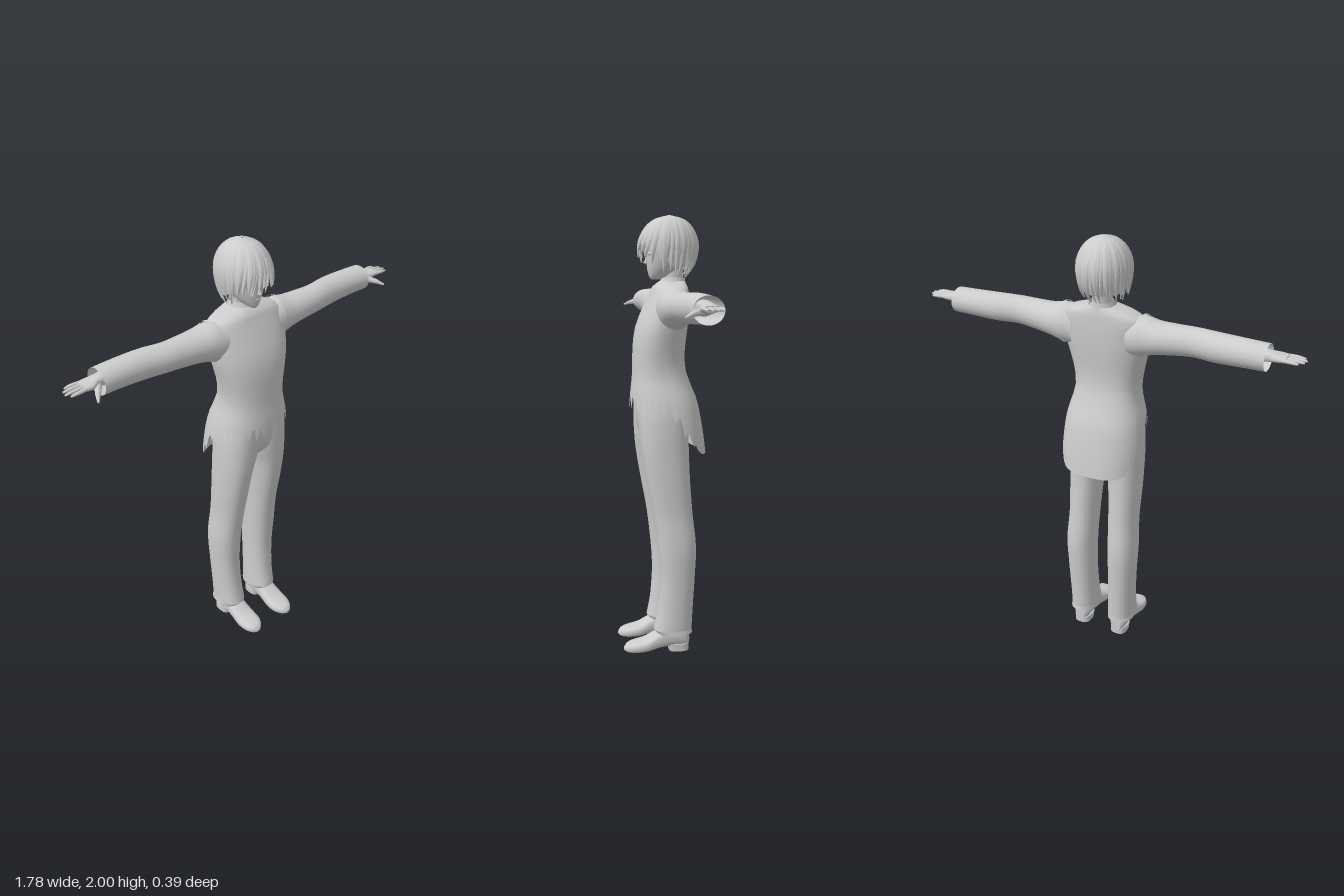
import * as THREE from 'three';

const clay = new THREE.MeshStandardMaterial({ color: 0xcccccc, side: THREE.DoubleSide });
clay.name = 'light grey';

// Smooth section at a position; rows are [pos, aMin, aMax, bMin, bMax] in rising order.
function sectionAt(rows, pos) {
  let i = 0;
  while (i < rows.length - 2 && pos > rows[i + 1][0]) i++;
  const r0 = rows[i], r1 = rows[i + 1], h = r1[0] - r0[0];
  const t = Math.min(1, Math.max(0, (pos - r0[0]) / h));
  const p = rows[Math.max(0, i - 1)], n = rows[Math.min(rows.length - 1, i + 2)];
  return [1, 2, 3, 4].map(k => {
    const m0 = (r1[k] - p[k]) / (r1[0] - p[0]) * h, m1 = (n[k] - r0[k]) / (n[0] - r0[0]) * h;
    const t2 = t * t, t3 = t2 * t;
    return (2 * t3 - 3 * t2 + 1) * r0[k] + (t3 - 2 * t2 + t) * m0 + (3 * t2 - 2 * t3) * r1[k] + (t3 - t2) * m1;
  });
}

// Point on a section outline; e < 1 makes it boxier.
function outline([a0, a1, b0, b1], ang, e = 1, scale = 1) {
  const c = Math.cos(ang), s = Math.sin(ang);
  const f = v => Math.sign(v) * Math.abs(v) ** e * 0.5 * scale;
  return [(a0 + a1) / 2 + f(c) * (a1 - a0), (b0 + b1) / 2 + f(s) * (b1 - b0)];
}

const place = {
  x: (p, a, b) => [p, b, a],
  y: (p, a, b) => [a, p, b],
  z: (p, a, b) => [b, a, p],
};

// Surface from rings of points; rings listed in `skip` are not joined to the next one.
function surface(rings, closed = true, skip = []) {
  const n = rings[0].length, index = [];
  for (let j = 0; j < rings.length - 1; j++) {
    if (skip.includes(j)) continue;
    for (let i = 0; i < (closed ? n : n - 1); i++) {
      const k = (i + 1) % n, a = j * n + i, b = j * n + k, c = a + n, d = b + n;
      index.push(a, c, b, b, c, d);
    }
  }
  const g = new THREE.BufferGeometry();
  g.setAttribute('position', new THREE.Float32BufferAttribute(rings.flat(2), 3));
  g.setIndex(index);
  g.computeVertexNormals();
  return g;
}

function loft(axis, rows, { e = 1, segs = 28, sub = 4, cap = true } = {}) {
  const stops = [];
  rows.forEach((r, i) => {
    if (i) for (let k = 1; k <= sub; k++) stops.push(rows[i - 1][0] + (r[0] - rows[i - 1][0]) * k / sub);
    else stops.push(r[0]);
  });
  const ring = (p, scale = 1) => Array.from({ length: segs }, (_, i) =>
    place[axis](p, ...outline(sectionAt(rows, p), i / segs * Math.PI * 2, e, scale)));
  const rings = stops.map(p => ring(p));
  if (!cap) return surface(rings);
  const first = stops[0], last = stops[stops.length - 1];
  const all = [ring(first, 0), ring(first), ...rings, ring(last), ring(last, 0)];
  return surface(all, true, [1, all.length - 3]);
}

function add(parent, name, geometry) {
  const m = new THREE.Mesh(geometry, clay);
  m.name = name;
  parent.add(m);
  return m;
}

// Tapered rod between two points
function rod(parent, name, a, b, r0, r1) {
  const A = new THREE.Vector3(...a), B = new THREE.Vector3(...b), d = B.clone().sub(A);
  const m = add(parent, name, new THREE.CylinderGeometry(r1, r0, d.length(), 10));
  m.position.copy(A).add(B).multiplyScalar(0.5);
  m.quaternion.setFromUnitVectors(new THREE.Vector3(0, 1, 0), d.normalize());
  return m;
}

const smooth = THREE.MathUtils.smoothstep, mix = THREE.MathUtils.lerp;

// Jacket body with a ragged front hem and a rounded tail
function jacketGeometry() {
  const rows = [
    [0.92, -0.19, 0.19, -0.195, 0.15], [1.0, -0.195, 0.195, -0.185, 0.15], [1.1, -0.19, 0.19, -0.168, 0.15],
    [1.18, -0.178, 0.178, -0.15, 0.148], [1.3, -0.15, 0.15, -0.102, 0.137], [1.4, -0.163, 0.163, -0.095, 0.135],
    [1.5, -0.187, 0.187, -0.105, 0.12], [1.6, -0.198, 0.198, -0.11, 0.078], [1.655, -0.19, 0.19, -0.108, 0.052],
    [1.682, -0.14, 0.14, -0.106, 0.04], [1.705, -0.058, 0.058, -0.1, 0.015],
  ];
  const segs = 96, ys = [1.3, 1.35, 1.4, 1.45, 1.5, 1.55, 1.6, 1.63, 1.655, 1.67, 1.682, 1.695, 1.705];
  const hem = i => {
    const s = Math.sin(i / segs * Math.PI * 2);
    const jag = 0.045 * Math.sin(i * 1.9) * (0.4 + 0.6 * Math.abs(Math.sin(i * 0.7)));
    return 1.16 - 0.23 * smooth(-s, -0.25, 0.85) + jag * smooth(s, -0.75, -0.1);
  };
  const ring = yOf => Array.from({ length: segs }, (_, i) => {
    const y = yOf(i), ang = i / segs * Math.PI * 2;
    return place.y(y, ...outline(sectionAt(rows, y), ang, 0.85));
  });
  const rings = [];
  for (let j = 0; j < 8; j++) rings.push(ring(i => mix(hem(i), 1.28, j / 8)));
  ys.forEach(y => rings.push(ring(() => y)));
  return surface(rings);
}

// Hair: an inner cap covered with ridged, pointed locks
function addHair(parent) {
  const rows = [
    [1.72, -0.085, 0.085, -0.1, 0.075], [1.78, -0.102, 0.102, -0.14, 0.1], [1.87, -0.111, 0.111, -0.155, 0.105],
    [1.94, -0.09, 0.09, -0.13, 0.075], [1.98, -0.052, 0.052, -0.088, 0.028], [1.995, -0.004, 0.004, -0.034, -0.026],
  ];
  const at = (y, ang, scale) => place.y(y, ...outline(sectionAt(rows, y), ang, 1, scale));
  const capRings = [];
  for (let j = 0; j <= 14; j++) capRings.push(Array.from({ length: 40 }, (_, i) => {
    const ang = i / 40 * Math.PI * 2, low = 1.765 + 0.1 * smooth(Math.sin(ang), -0.2, 0.9);
    return at(mix(low, 1.995, Math.sin(j / 14 * Math.PI / 2)), ang, 0.96);
  }));
  add(parent, 'hairCap', surface(capRings));
  const count = 44;
  for (let i = 0; i < count; i++) {
    const ang = i / count * Math.PI * 2, s = Math.sin(ang), c = Math.cos(ang);
    const front = smooth(s, 0.35, 0.8), wobble = Math.sin(i * 2.4);
    const end = mix(1.75 + 0.015 * s, c > 0.1 ? 1.835 : 1.795, front) + 0.015 * wobble;
    const sweep = front * 0.28 + 0.08 * Math.sin(i * 1.7), w = 0.14 + 0.03 * (i % 3);
    const rings = [];
    for (let j = 0; j <= 12; j++) {
      const t = j / 12, y = mix(end, 1.994, Math.cos(t * Math.PI / 2));
      const half = w * (1 - t ** 4 * 0.98);
      rings.push([-1, -0.5, 0, 0.5, 1].map(u =>
        at(y, ang + sweep * t * t + u * half, 1.045 + 0.012 * (i % 3) - 0.06 * u * u)));
    }
    add(parent, 'hairLock', surface(rings.reverse(), false));
  }
}

function addHead(parent) {
  const head = new THREE.Group();
  head.name = 'head';
  parent.add(head);
  add(head, 'face', loft('y', [
    [1.712, -0.012, 0.012, 0.022, 0.052], [1.725, -0.03, 0.03, -0.03, 0.062], [1.76, -0.058, 0.058, -0.085, 0.07],
    [1.81, -0.08, 0.08, -0.12, 0.075], [1.87, -0.09, 0.09, -0.13, 0.078], [1.94, -0.07, 0.07, -0.1, 0.045],
  ]));
  const nose = add(head, 'nose', new THREE.ConeGeometry(0.01, 0.04, 8));
  nose.position.set(0, 1.802, 0.074);
  nose.rotation.x = -0.25;
  const mouth = add(head, 'mouth', new THREE.SphereGeometry(1, 12, 8));
  mouth.scale.set(0.016, 0.003, 0.004);
  mouth.position.set(0, 1.757, 0.068);
  for (const side of [-1, 1]) {
    const eye = add(head, 'eye', new THREE.SphereGeometry(1, 14, 10));
    eye.scale.set(0.018, 0.008, 0.004);
    eye.position.set(side * 0.036, 1.826, 0.066);
    eye.rotation.y = side * 0.35;
  }
  addHair(head);
  add(head, 'neck', loft('y', [[1.66, -0.053, 0.053, -0.1, 0.005], [1.71, -0.043, 0.043, -0.092, 0.0], [1.78, -0.045, 0.045, -0.095, 0.0]]));
  add(head, 'collar', loft('y', [[1.68, -0.062, 0.062, -0.106, 0.022], [1.722, -0.05, 0.05, -0.1, 0.006]], { cap: false }));
}

// Sleeve, hand, trouser leg and shoe for the +x side
function buildSide() {
  const side = new THREE.Group();
  add(side, 'sleeve', loft('x', [
    [0.13, -0.1, 0.06, 1.49, 1.665], [0.19, -0.108, 0.055, 1.5, 1.675], [0.25, -0.105, 0.048, 1.517, 1.664],
    [0.34, -0.093, 0.042, 1.53, 1.662], [0.42, -0.085, 0.037, 1.537, 1.663], [0.52, -0.1, 0.024, 1.538, 1.665],
    [0.64, -0.105, 0.02, 1.543, 1.662], [0.738, -0.105, 0.022, 1.545, 1.658],
  ], { cap: false }));
  add(side, 'shoulderSeam', loft('x', [[0.182, -0.112, 0.058, 1.496, 1.682], [0.196, -0.111, 0.056, 1.5, 1.68]], { cap: false }));
  // Hand
  const hand = new THREE.Group();
  hand.name = 'hand';
  side.add(hand);
  add(hand, 'palm', loft('x', [
    [0.65, -0.075, -0.008, 1.575, 1.64], [0.74, -0.068, -0.01, 1.587, 1.632], [0.775, -0.074, 0.004, 1.592, 1.626],
    [0.815, -0.074, 0.002, 1.597, 1.622],
  ], { e: 0.8, segs: 20 }));
  const tips = [0.868, 0.887, 0.892, 0.88];
  tips.forEach((tip, i) => {
    const z = -0.065 + i * 0.0195, drift = (i - 1.5) * 0.003;
    add(hand, 'finger', loft('x', [
      [0.8, z - 0.009, z + 0.009, 1.601, 1.619], [mix(0.8, tip, 0.6), z + drift - 0.008, z + drift + 0.008, 1.602, 1.617],
      [tip - 0.004, z + drift - 0.005, z + drift + 0.005, 1.603, 1.612], [tip, z + drift - 0.002, z + drift + 0.002, 1.605, 1.609],
    ], { segs: 10 }));
  });
  rod(hand, 'thumb', [0.75, 1.6, -0.015], [0.782, 1.59, 0.032], 0.016, 0.011);
  rod(hand, 'thumb', [0.78, 1.591, 0.029], [0.802, 1.578, 0.062], 0.011, 0.004);
  // Trouser leg
  add(side, 'trouserLeg', loft('y', [
    [0.105, 0.036, 0.165, -0.118, 0.06], [0.2, 0.04, 0.166, -0.122, 0.042], [0.35, 0.042, 0.172, -0.13, 0.032],
    [0.5, 0.04, 0.178, -0.135, 0.042], [0.65, 0.036, 0.17, -0.12, 0.062], [0.8, 0.028, 0.173, -0.108, 0.09],
    [0.92, 0.016, 0.174, -0.103, 0.11], [1.0, -0.005, 0.174, -0.102, 0.119], [1.1, -0.02, 0.17, -0.1, 0.124],
    [1.2, -0.02, 0.155, -0.095, 0.122],
  ], { cap: false, e: 0.9 }));
  add(side, 'trouserCuff', loft('y', [[0.085, 0.036, 0.167, -0.12, 0.045], [0.106, 0.036, 0.165, -0.118, 0.06]], { cap: false, e: 0.9 }));
  // Shoe
  add(side, 'shoe', loft('z', [
    [-0.104, 0.03, 0.08, 0.075, 0.125], [-0.085, 0.022, 0.12, 0.06, 0.14], [-0.02, 0.022, 0.13, 0.055, 0.145],
    [0.04, 0.016, 0.098, 0.052, 0.148], [0.1, 0.004, 0.064, 0.046, 0.154], [0.15, 0.002, 0.052, 0.05, 0.15],
    [0.185, 0.004, 0.042, 0.07, 0.132], [0.2, 0.012, 0.026, 0.09, 0.112],
  ], { e: 0.75 }));
  add(side, 'shoeHeel', loft('y', [[0, 0.06, 0.14, -0.103, -0.01], [0.035, 0.058, 0.142, -0.104, -0.002]], { e: 0.7 }));
  return side;
}

export function createModel() {
  const model = new THREE.Group();
  model.name = 'standingFigure';
  addHead(model);
  add(model, 'jacket', jacketGeometry());
  add(model, 'trouserHips', loft('y', [
    [0.985, -0.03, 0.03, -0.06, 0.07], [1.03, -0.11, 0.11, -0.1, 0.11], [1.1, -0.16, 0.16, -0.104, 0.124], [1.22, -0.155, 0.155, -0.1, 0.126],
  ], { e: 0.9 }));
  const left = buildSide(), right = buildSide();
  left.name = 'leftLimbs';
  right.name = 'rightLimbs';
  right.scale.x = -1;
  model.add(left, right);
  return model;
}
